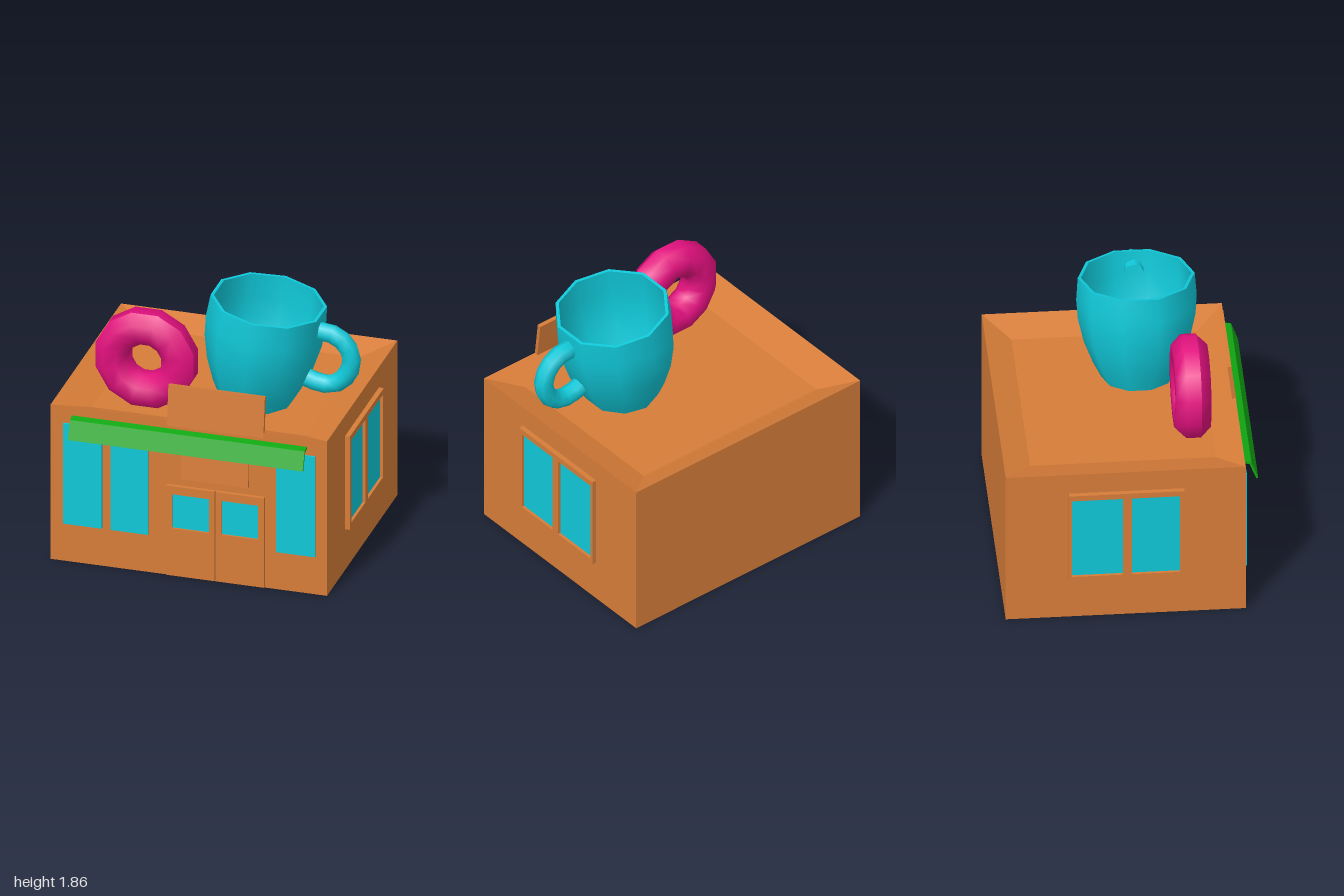
import * as THREE from 'three';
import { toCreasedNormals } from 'three/addons/utils/BufferGeometryUtils.js';

export function createModel() {
  const model = new THREE.Group();
  const material = (name, color, extra = {}) => {
    const m = new THREE.MeshStandardMaterial({ color, ...extra });
    m.name = name;
    return m;
  };
  const orange = material('orange clay', 0xd67c38, { side: THREE.DoubleSide });
  const teal = material('teal glaze', 0x10c8d8);
  const pink = material('pink icing', 0xe2107e);
  const green = material('awning green', 0x10a812);

  const add = (name, geometry, mat, parent = model) => {
    const mesh = new THREE.Mesh(geometry, mat);
    mesh.name = name;
    parent.add(mesh);
    return mesh;
  };
  // box given by its limits on each axis
  const box = (name, mat, x0, x1, y0, y1, z0, z1) => {
    const mesh = add(name, new THREE.BoxGeometry(x1 - x0, y1 - y0, z1 - z0), mat);
    mesh.position.set((x0 + x1) / 2, (y0 + y1) / 2, (z0 + z1) / 2);
    return mesh;
  };
  // rectangular plate with rectangular holes, each [u0, u1, v0, v1]
  const rect = (path, [u0, u1, v0, v1]) => {
    path.moveTo(u0, v0);
    path.lineTo(u1, v0);
    path.lineTo(u1, v1);
    path.lineTo(u0, v1);
    path.closePath();
    return path;
  };
  const plate = (outer, holes, depth) => {
    const shape = rect(new THREE.Shape(), outer);
    holes.forEach((h) => shape.holes.push(rect(new THREE.Path(), h)));
    return new THREE.ExtrudeGeometry(shape, { depth, bevelEnabled: false });
  };

  // shell: open below, with a rim that slopes in to a shallow roof
  const rings = [
    [-0.97, 0.95, 0, -0.85, 0.75],
    [-0.97, 0.95, 1.14, -0.85, 0.75],
    [-0.74, 0.74, 1.07, -0.67, 0.57],
  ].map(([x0, x1, y, z0, z1]) => [[x0, y, z1], [x1, y, z1], [x1, y, z0], [x0, y, z0]]);
  const shell = [];
  const quad = (a, b, c, d) => shell.push(...a, ...b, ...c, ...a, ...c, ...d);
  for (let r = 0; r < 2; r++) {
    for (let i = 0; i < 4; i++) {
      const j = (i + 1) % 4;
      quad(rings[r][i], rings[r][j], rings[r + 1][j], rings[r + 1][i]);
    }
  }
  quad(...rings[2]);
  const shellGeometry = new THREE.BufferGeometry();
  shellGeometry.setAttribute('position', new THREE.Float32BufferAttribute(shell, 3));
  shellGeometry.computeVertexNormals();
  add('buildingShell', shellGeometry, orange);

  // side windows, one frame with two panes on each side wall
  for (const s of [1, -1]) {
    const win = new THREE.Group();
    win.name = s > 0 ? 'leftSideWindow' : 'rightSideWindow';
    const span = (z0, z1, y0, y1) => [Math.min(-s * z0, -s * z1), Math.max(-s * z0, -s * z1), y0, y1];
    const panes = [span(-0.01, 0.31, 0.34, 0.95), span(-0.41, -0.07, 0.34, 0.95)];
    add('windowFrame', plate(span(-0.43, 0.34, 0.3, 0.99), panes, 0.034), orange, win);
    for (const p of panes) {
      const glass = add('windowPane', plate(p, [], 0.008), teal, win);
      glass.position.z = 0.006;
    }
    win.rotation.y = s * Math.PI / 2;
    win.position.x = s > 0 ? 0.95 : -0.97;
    model.add(win);
  }

  // tall shop windows
  for (const [x0, x1] of [[-0.88, -0.61], [-0.55, -0.29], [0.6, 0.87]]) {
    box('shopWindow', teal, x0, x1, 0.28, 1.02, 0.751, 0.765);
  }

  // double doors with a small pane each
  for (const [x0, x1] of [[-0.16, 0.177], [0.185, 0.52]]) {
    const pane = [x0 + 0.04, x1 - 0.04, 0.36, 0.61];
    add('door', plate([x0, x1, 0.01, 0.67], [pane], 0.026), orange).position.z = 0.75;
    add('doorPane', plate(pane, [], 0.008), teal).position.z = 0.755;
  }

  // blank boards above the door and on the rim
  const doorBoard = box('doorBoard', orange, -0.06, 0.41, 0.73, 0.9, 0.748, 0.77);
  doorBoard.rotation.x = -0.08;
  const roofBoard = box('roofBoard', orange, -0.16, 0.51, 1.1, 1.39, 0.713, 0.74);
  roofBoard.rotation.x = -0.12;

  // bent awning
  const awningShape = new THREE.Shape([
    [0.6, 1.065], [0.75, 1.065], [0.788, 1.055], [0.833, 0.938],
    [0.846, 0.943], [0.8, 1.07], [0.75, 1.081], [0.6, 1.081],
  ].map(([z, y]) => new THREE.Vector2(-z, y)));
  const awningGeometry = new THREE.ExtrudeGeometry(awningShape, { depth: 1.63, bevelEnabled: false });
  awningGeometry.rotateY(Math.PI / 2);
  add('awning', awningGeometry, green).position.x = -0.82;

  // ring doughnut standing on the roof
  const ringProfile = [];
  for (let i = 0; i <= 8; i++) {
    const a = ((i + 0.5) / 8) * Math.PI * 2;
    ringProfile.push(new THREE.Vector2(0.235 + 0.127 * Math.cos(a), 0.127 * Math.sin(a)));
  }
  const ring = new THREE.LatheGeometry(ringProfile, 12, Math.PI / 12);
  ring.rotateX(Math.PI / 2);
  add('doughnut', ring, pink).position.set(-0.4, 1.42, 0.43);

  // tilted cup with a hole in its base
  const cupProfile = [
    [0.14, 0], [0.24, 0], [0.295, 0.11], [0.355, 0.27], [0.392, 0.44], [0.402, 0.58],
    [0.39, 0.745], [0.368, 0.745], [0.375, 0.58], [0.362, 0.42], [0.325, 0.25], [0.23, 0.04], [0.14, 0.015],
  ].map(([r, y]) => new THREE.Vector2(r, y));
  const cup = add('cup', toCreasedNormals(new THREE.LatheGeometry(cupProfile, 10), 0.75), teal);
  cup.position.set(0.26, 1.07, 0.13);
  cup.rotation.z = -0.13;

  // cup handle
  const handlePath = new THREE.CatmullRomCurve3([
    [0.65, 1.63], [0.77, 1.637], [0.87, 1.59], [0.925, 1.51], [0.933, 1.42],
    [0.89, 1.325], [0.815, 1.265], [0.72, 1.257], [0.61, 1.29],
  ].map(([x, y]) => new THREE.Vector3(x, y, 0.14)));
  add('cupHandle', new THREE.TubeGeometry(handlePath, 11, 0.065, 8), teal);

  return model;
}
